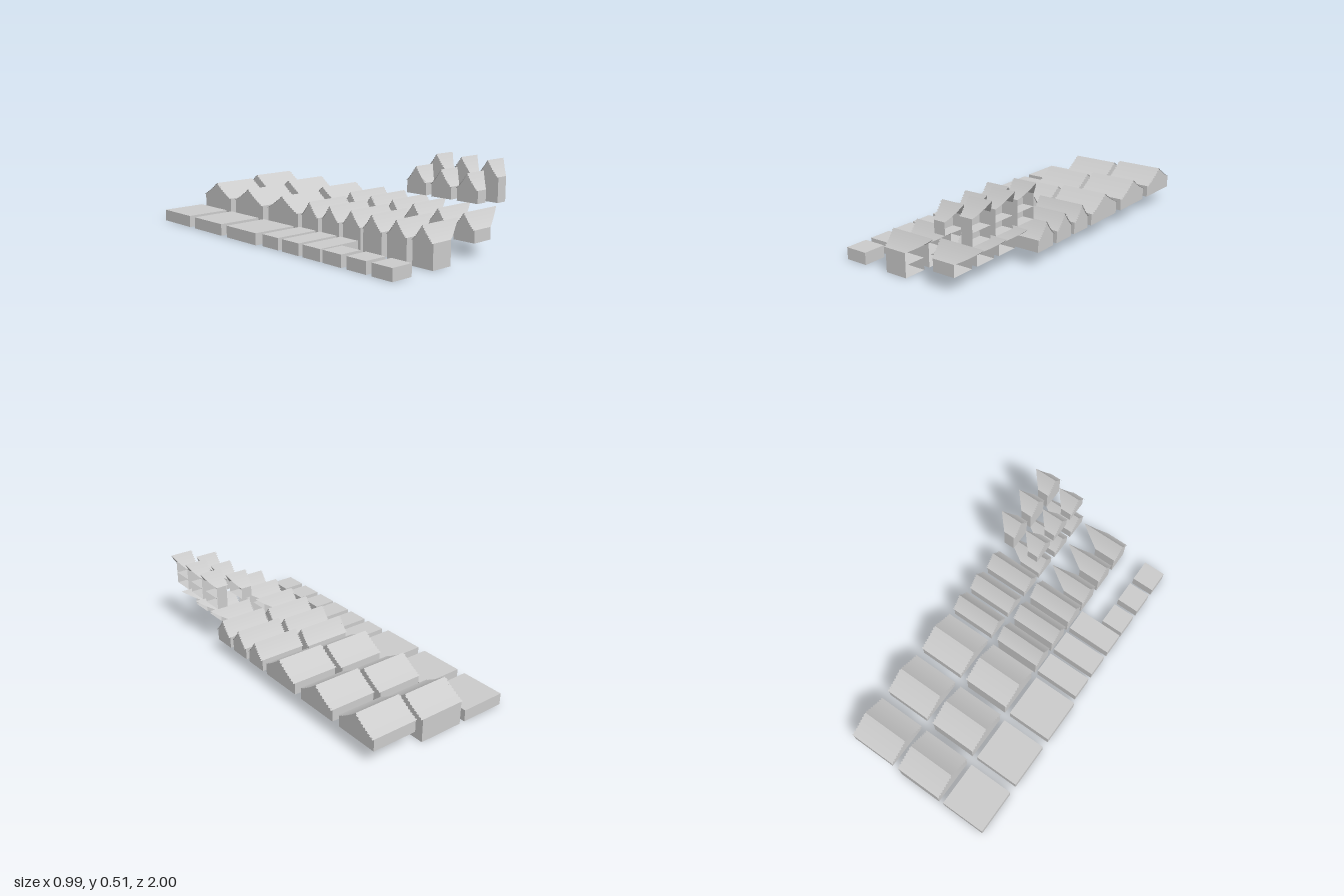
import * as THREE from 'three';

const material = new THREE.MeshStandardMaterial({ color: 0xcccccc, side: THREE.DoubleSide, flatShading: true });
const STOREY = 0.071, ROOF_H = 0.088, COURSES = 16;

// roof height at s: 0 = eave, 1 = ridge, slightly steeper towards the ridge
const slope = (s) => ROOF_H * (0.72 * s + 0.28 * s * s);

function add(parent, geometry, name, x = 0, y = 0, z = 0) {
  const mesh = new THREE.Mesh(geometry, material);
  mesh.name = name;
  mesh.position.set(x, y, z);
  parent.add(mesh);
  return mesh;
}

// one storey box without a ceiling; openEnd also leaves out the +x wall
function storeyGeometry(length, width, openEnd) {
  const g = new THREE.BoxGeometry(length, STOREY, width);
  const idx = Array.from(g.index.array);
  g.setIndex(idx.filter((_, i) => !(i >= 12 && i < 18) && !(openEnd && i < 6)));
  return g;
}

// two slopes of tile courses with ragged ends; wing > 0 runs the ridge out to a valley cut
function roofGeometry(x0, x1, width, wing) {
  const pos = [];
  for (const side of [1, -1]) {
    for (let i = 0; i < COURSES; i++) {
      const s0 = i / COURSES, s1 = (i + 1) / COURSES;
      const rag = i % 2 ? 0.005 : 0;
      const start = x0 - 0.01 + rag;
      const end = (s) => (wing ? x1 + wing * s : x1 + 0.01 - rag);
      const point = (x, s) => [x, slope(s), side * (1 - s) * width / 2];
      const a = point(start, s0), b = point(end(s0), s0);
      const c = point(end(s1), s1), d = point(start, s1);
      const quad = side > 0 ? [a, b, c, a, c, d] : [a, c, b, a, d, c];
      pos.push(...quad.flat());
    }
  }
  const g = new THREE.BufferGeometry();
  g.setAttribute('position', new THREE.Float32BufferAttribute(pos, 3));
  g.computeVertexNormals();
  return g;
}

// gable wall following the roof profile, facing +x
function gableGeometry(width) {
  const shape = new THREE.Shape();
  shape.moveTo(-width / 2, 0);
  shape.lineTo(width / 2, 0);
  for (let i = 1; i <= 8; i++) shape.lineTo((1 - i / 8) * width / 2, slope(i / 8));
  for (let i = 7; i >= 1; i--) shape.lineTo(-(1 - i / 8) * width / 2, slope(i / 8));
  shape.closePath();
  return new THREE.ShapeGeometry(shape).rotateY(Math.PI / 2);
}

function house(parent, name, { x0, x1, y, z, width, storeys, wing = 0 }) {
  const group = new THREE.Group();
  group.name = name;
  group.position.set(0, y, z);
  parent.add(group);
  for (let i = 0; i < storeys; i++) {
    add(group, storeyGeometry(x1 - x0, width, wing > 0), 'storey', (x0 + x1) / 2, (i + 0.5) * STOREY);
  }
  const top = storeys * STOREY;
  add(group, roofGeometry(x0, x1, width, wing), 'roof', 0, top);
  add(group, gableGeometry(width), 'gable', x0, top).rotation.y = Math.PI;
  if (!wing) add(group, gableGeometry(width), 'gable', x1, top);
}

export function createModel() {
  const model = new THREE.Group();
  model.name = 'houseSet';

  // three wide rows, three narrow rows, three wing rows
  const rows = [
    ...[-0.86, -0.525, -0.19].map((z) => ({ z, width: 0.28, kind: 'wide' })),
    ...[0.06, 0.235, 0.41].map((z) => ({ z, width: 0.14, kind: 'narrow' })),
    ...[0.57, 0.75, 0.93].map((z) => ({ z, width: 0.14, kind: 'wing' })),
  ];

  for (const { z, width, kind } of rows) {
    const isWing = kind === 'wing';
    const length = isWing ? 0.141 : 0.283;
    const wing = isWing ? 0.141 : 0;

    // flat block
    const bx = kind === 'wide' ? -0.495 : -0.478;
    add(model, new THREE.BoxGeometry(length, STOREY, width), kind + 'FlatBlock', bx + length / 2, STOREY / 2, z);

    // two-storey and raised one-storey houses
    house(model, kind + 'TallHouse', { x0: -0.176, x1: -0.176 + length, y: 0, z, width, storeys: 2, wing });
    house(model, kind + 'LowHouse', { x0: 0.16, x1: 0.16 + length, y: 0.089, z, width, storeys: 1, wing });

    // short raised dormers
    if (isWing) {
      house(model, 'lowDormer', { x0: 0.178, x1: 0.248, y: 0.301, z, width, storeys: 1, wing: 0.068 });
      house(model, 'tallDormer', { x0: 0.355, x1: 0.425, y: 0.284, z, width, storeys: 2, wing: 0.068 });
    }
  }
  return model;
}
